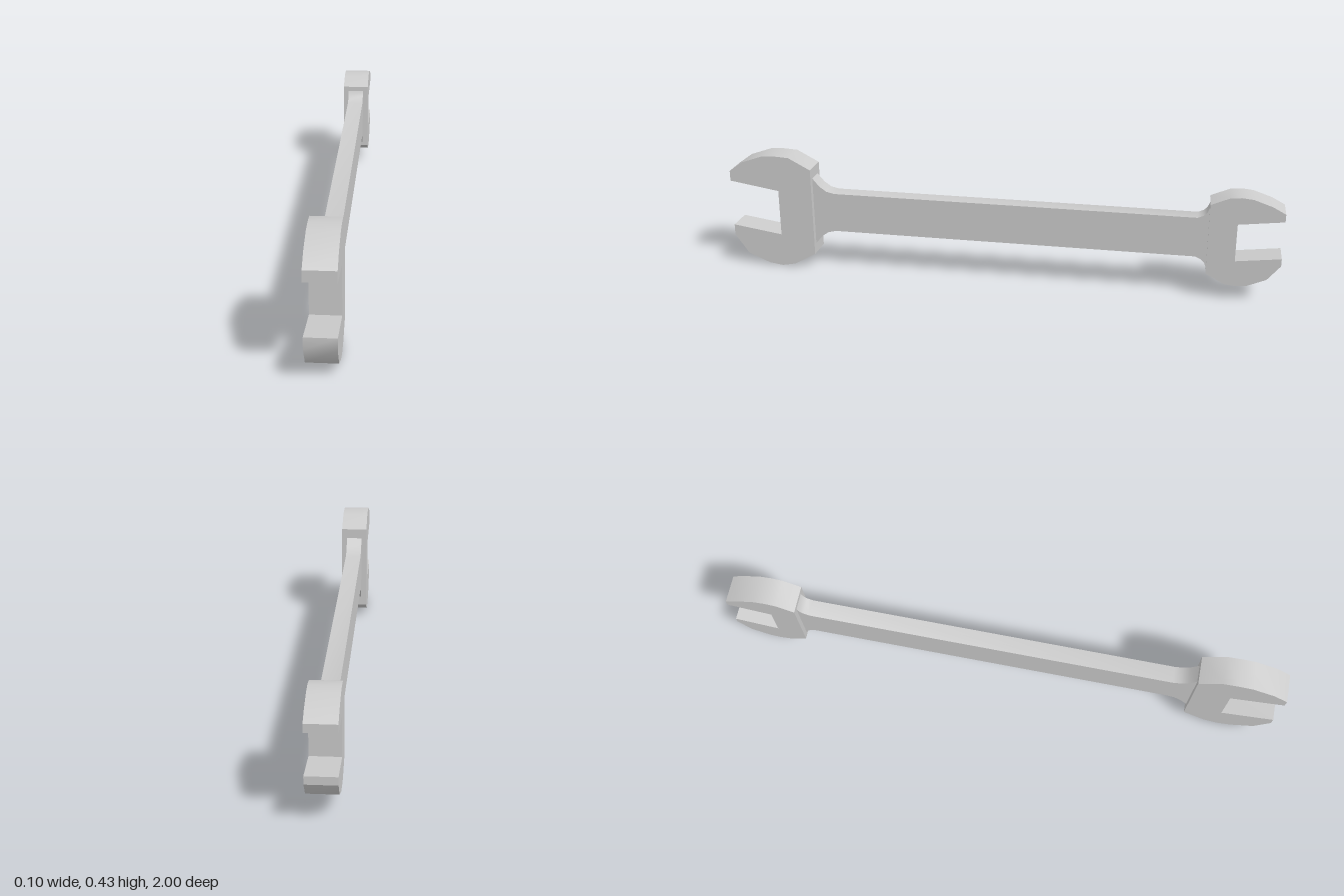
import * as THREE from 'three';
import { toCreasedNormals } from 'three/addons/utils/BufferGeometryUtils.js';

const material = new THREE.MeshStandardMaterial({ color: 0xcccccc });

// Extrude a side outline given as [z, y] points, centred on x = 0
function plate(name, points, width) {
  const shape = new THREE.Shape(points.map(([z, y]) => new THREE.Vector2(z, y)));
  const geometry = new THREE.ExtrudeGeometry(shape, { depth: width, bevelEnabled: false });
  geometry.translate(0, 0, -width / 2);
  geometry.rotateY(-Math.PI / 2);
  const mesh = new THREE.Mesh(toCreasedNormals(geometry, 0.68), material);
  mesh.name = name;
  return mesh;
}

export function createModel() {
  const group = new THREE.Group();
  group.name = 'openEndWrench';

  // Large jaw at the front, with a tapering slot
  group.add(plate('largeJaw', [
    [0.69, 0.055], [0.77, 0.01], [0.82, 0], [0.87, 0.007], [0.95, 0.04], [1, 0.112],
    [1, 0.152], [0.817, 0.125], [0.817, 0.297], [1, 0.326],
    [1, 0.364], [0.95, 0.4], [0.87, 0.428], [0.82, 0.43], [0.77, 0.427], [0.69, 0.385],
  ], 0.1));

  // Small jaw at the back
  group.add(plate('smallJaw', [
    [-0.745, 0.092], [-0.81, 0.057], [-0.85, 0.053], [-0.89, 0.057], [-0.955, 0.085], [-1, 0.14],
    [-1, 0.167], [-0.842, 0.147], [-0.842, 0.284], [-1, 0.304],
    [-1, 0.332], [-0.955, 0.356], [-0.89, 0.378], [-0.85, 0.382], [-0.81, 0.378], [-0.745, 0.35],
  ], 0.1));

  // Thin handle, flared where it meets each jaw
  const mid = 0.219;
  const upper = [
    [0.69, 0.128], [0.665, 0.098], [0.64, 0.08], [0.61, 0.073],
    [-0.705, 0.073], [-0.725, 0.082], [-0.737, 0.094], [-0.745, 0.113],
  ];
  group.add(plate('handle', [
    ...upper.map(([z, h]) => [z, mid + h]),
    ...upper.map(([z, h]) => [z, mid - h]).reverse(),
  ], 0.06));

  return group;
}
